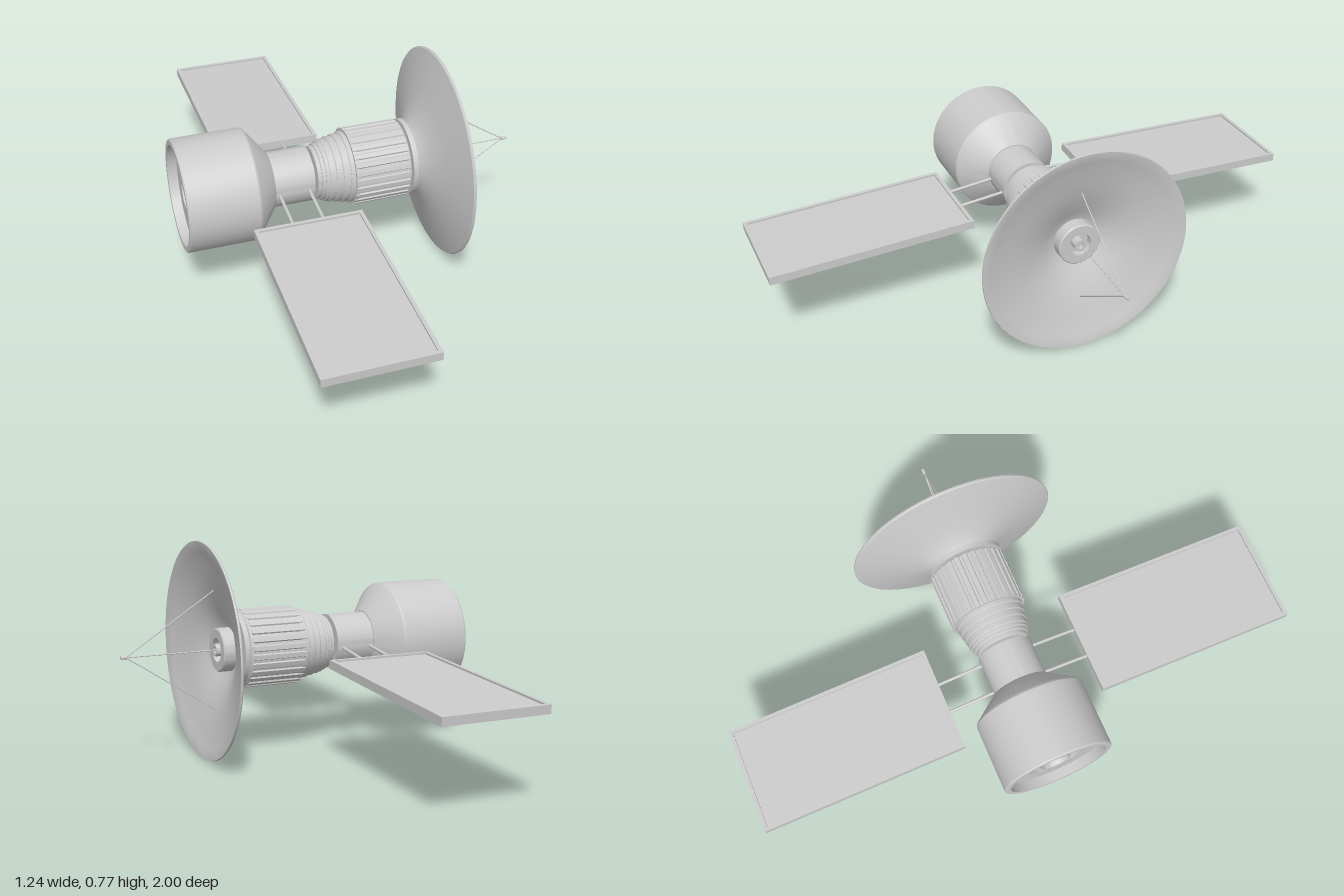
import * as THREE from 'three';
import { toCreasedNormals } from 'three/addons/utils/BufferGeometryUtils.js';

const AXIS_Y = 0.385;
const grey = new THREE.MeshStandardMaterial({ color: 0xcccccc, side: THREE.DoubleSide });

function addMesh(parent, geometry, name) {
  const mesh = new THREE.Mesh(geometry, grey);
  mesh.name = name;
  parent.add(mesh);
  return mesh;
}

// Solid of revolution about the x axis from [x, radius] pairs
function turned(profile, segments = 64) {
  const points = profile.map(([x, r]) => new THREE.Vector2(r, x));
  const geometry = new THREE.LatheGeometry(points, segments).rotateZ(-Math.PI / 2);
  return toCreasedNormals(geometry, 0.4);
}

// Thin round bar between two points
function bar(a, b, radius) {
  const path = new THREE.LineCurve3(new THREE.Vector3(...a), new THREE.Vector3(...b));
  return new THREE.TubeGeometry(path, 1, radius, 10);
}

// Cylinder with raised ribs along its length
function ribbedBarrel(x0, x1, outer, inner, count) {
  const shape = new THREE.Shape();
  const step = (Math.PI * 2) / count;
  for (let i = 0; i < count; i++) {
    [[0, inner], [0.3, inner], [0.4, outer], [0.9, outer]].forEach(([t, r], k) => {
      const a = (i + t) * step;
      const x = Math.cos(a) * r, y = Math.sin(a) * r;
      if (i === 0 && k === 0) shape.moveTo(x, y);
      else shape.lineTo(x, y);
    });
  }
  shape.closePath();
  return new THREE.ExtrudeGeometry(shape, { depth: x1 - x0, bevelEnabled: false })
    .rotateY(Math.PI / 2).translate(x0, 0, 0);
}

// Framed panel on two struts, reaching out along +z and drooping slightly
function solarWing() {
  const wing = new THREE.Group();
  const x0 = -0.418, x1 = -0.038, z0 = 0.262, z1 = 1.0;
  const w = x1 - x0, len = z1 - z0, edge = 0.013, h = 0.03;
  const panel = new THREE.Group();
  panel.name = 'solarPanel';
  addMesh(panel, new THREE.BoxGeometry(w - edge, 0.016, len - edge), 'panelSheet');
  for (const s of [-1, 1]) {
    addMesh(panel, new THREE.BoxGeometry(edge, h, len), 'panelSideFrame').position.x = s * (w - edge) / 2;
    addMesh(panel, new THREE.BoxGeometry(w - 2 * edge, h, edge), 'panelEndFrame').position.z = s * (len - edge) / 2;
  }
  panel.position.set((x0 + x1) / 2, 0.344 - AXIS_Y, (z0 + z1) / 2);
  panel.rotation.x = 0.038;
  wing.add(panel);
  for (const x of [-0.28, -0.173]) {
    addMesh(wing, bar([x, -0.008, 0.07], [x, -0.027, 0.27], 0.006), 'panelStrut');
  }
  return wing;
}

export function createModel() {
  const model = new THREE.Group();
  model.name = 'satellite';
  const craft = new THREE.Group();
  craft.name = 'spacecraft';
  craft.position.y = AXIS_Y;
  model.add(craft);

  // Rear drum with recessed end, cone and neck
  addMesh(craft, turned([
    [-0.555, 0], [-0.555, 0.105], [-0.585, 0.105], [-0.585, 0.178], [-0.62, 0.178],
    [-0.62, 0.196], [-0.615, 0.2], [-0.374, 0.2], [-0.367, 0.196],
    [-0.295, 0.102], [-0.295, 0.098], [-0.152, 0.098], [-0.152, 0],
  ]), 'rearDrum');
  addMesh(craft, turned([
    [-0.565, 0], [-0.565, 0.035], [-0.595, 0.05], [-0.595, 0.058], [-0.55, 0.045],
  ], 40), 'rearNozzle');

  // Joint, then collar widening in small steps
  addMesh(craft, turned([[-0.16, 0.057], [-0.13, 0.057]]), 'rearJoint');
  const steps = [[-0.14, 0.096], [-0.126, 0.103], [-0.113, 0.109], [-0.1, 0.113],
    [-0.077, 0.118], [-0.053, 0.123], [-0.028, 0.128]];
  const collar = [[-0.14, 0]];
  steps.forEach(([x, r], i) => {
    const next = i + 1 < steps.length ? steps[i + 1][0] : -0.012;
    collar.push([x, r - 0.003], [x + 0.003, r], [next, r]);
  });
  collar.push([-0.012, 0.137], [0.0, 0.137]);
  addMesh(craft, turned(collar), 'steppedCollar');

  // Ribbed main body with a rounded front shoulder
  addMesh(craft, ribbedBarrel(-0.012, 0.188, 0.14, 0.135, 28), 'ribbedBody');
  addMesh(craft, turned([[0.186, 0.138], [0.192, 0.135], [0.195, 0.13], [0.195, 0]]), 'bodyShoulder');
  addMesh(craft, turned([[0.19, 0.056], [0.205, 0.056]]), 'frontJoint');
  addMesh(craft, turned([[0.2, 0], [0.2, 0.138], [0.218, 0.138], [0.218, 0]]), 'mountingDisc');

  // Dish: back surface, rim, then inner surface
  addMesh(craft, turned([
    [0.215, 0.1], [0.222, 0.106], [0.236, 0.125], [0.247, 0.143], [0.258, 0.168],
    [0.272, 0.205], [0.285, 0.25], [0.299, 0.3], [0.312, 0.345], [0.322, 0.38],
    [0.326, 0.3835], [0.332, 0.3825], [0.332, 0.377], [0.32, 0.345], [0.307, 0.3],
    [0.293, 0.25], [0.28, 0.205], [0.266, 0.168], [0.253, 0.138], [0.24, 0.11],
    [0.228, 0.085], [0.222, 0.06], [0.222, 0],
  ], 72), 'dish');

  // Hub in the middle of the dish
  addMesh(craft, turned([
    [0.22, 0.077], [0.268, 0.077], [0.272, 0.073], [0.272, 0.042], [0.245, 0.042], [0.245, 0.022],
    [0.28, 0.022], [0.28, 0.012], [0.265, 0.012], [0.265, 0],
  ], 48), 'dishHub');

  // Feed on its mast and two braces
  addMesh(craft, turned([[0.597, 0], [0.597, 0.006], [0.618, 0.006], [0.618, 0]], 16), 'feed');
  addMesh(craft, bar([0.26, 0, 0], [0.6, 0, 0], 0.002), 'feedMast');
  for (const s of [-1, 1]) {
    addMesh(craft, bar([0.28, s * 0.211, 0], [0.6, 0, 0], 0.002), 'feedBrace');
  }

  // Mirrored solar wings
  for (const side of ['left', 'right']) {
    const wing = solarWing();
    wing.name = side === 'left' ? 'frontSolarWing' : 'backSolarWing';
    if (side === 'right') {
      wing.scale.z = -1;
    }
    craft.add(wing);
  }
  return model;
}
